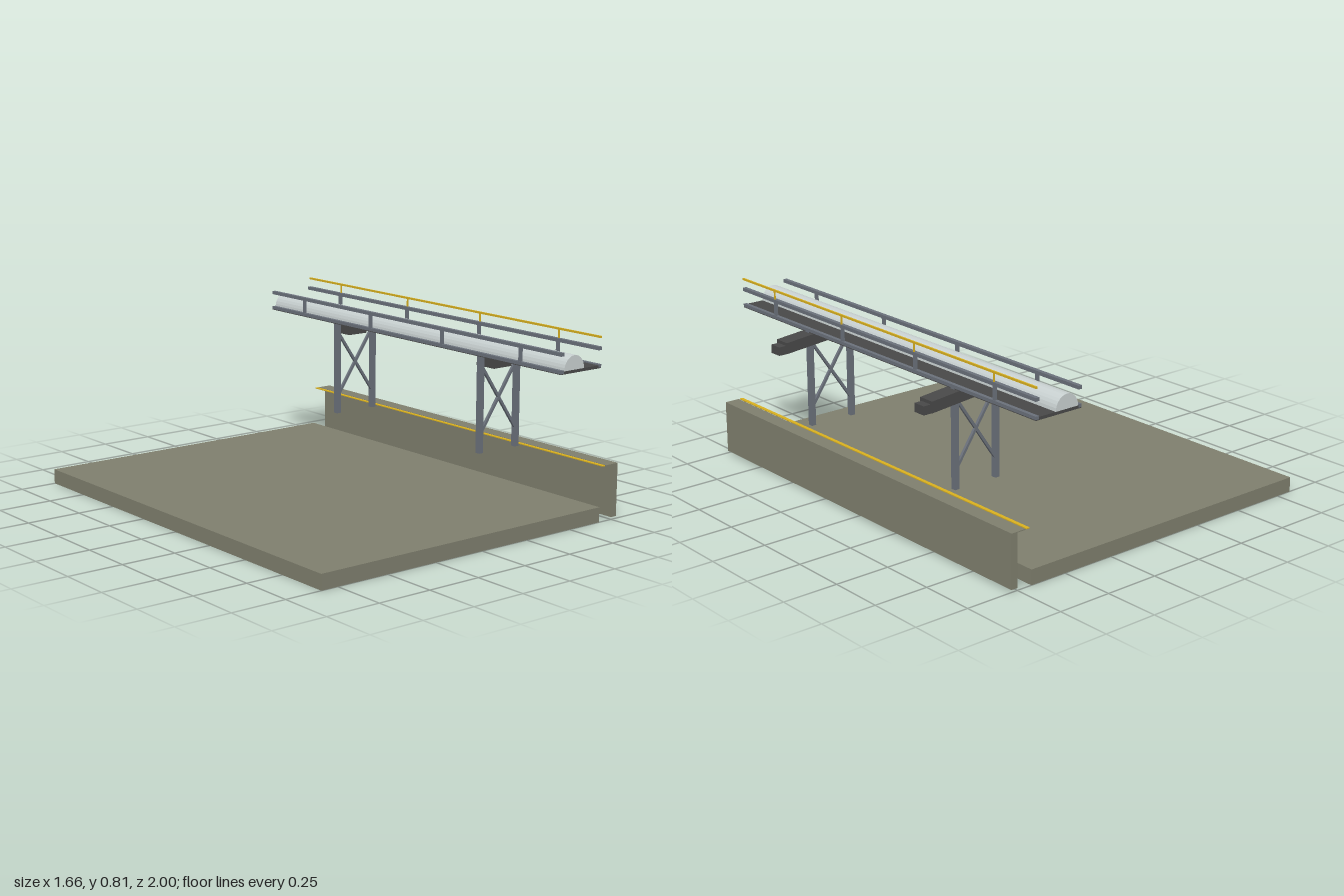
import * as THREE from 'three';

const mat = (name, color) => {
  const m = new THREE.MeshStandardMaterial({ color });
  m.name = name;
  return m;
};

export function createModel() {
  const concrete = mat('concrete', 0x7e7e6d);
  const steel = mat('steel', 0x6a707a);
  const dark = mat('darkMetal', 0x484848);
  const cover = mat('coverSheet', 0xc8d0d0);
  const yellow = mat('safetyYellow', 0xd8b020);

  const model = new THREE.Group();
  model.name = 'conveyorGallery';

  // Box given by its lower and upper limits on each axis
  const box = (name, material, x0, x1, y0, y1, z0, z1, parent = model) => {
    const mesh = new THREE.Mesh(new THREE.BoxGeometry(x1 - x0, y1 - y0, z1 - z0), material);
    mesh.position.set((x0 + x1) / 2, (y0 + y1) / 2, (z0 + z1) / 2);
    mesh.name = name;
    parent.add(mesh);
    return mesh;
  };

  // Ground slab and quay wall with its coping and painted line
  box('groundSlab', concrete, -0.83, 0.677, 0, 0.067, -1, 1);
  box('quayWall', concrete, 0.75, 0.78, 0.01, 0.247, -1, 1);
  box('copingPlate', concrete, 0.71, 0.75, 0.243, 0.247, -1, 1);
  box('edgeLine', yellow, 0.688, 0.704, 0.244, 0.248, -1, 1);

  // Deck with steel edge beams
  box('deck', dark, 0.44, 0.643, 0.679, 0.69, -1, 1);
  box('deckSoffit', dark, 0.423, 0.66, 0.677, 0.68, -1, 1);
  box('leftEdgeBeam', steel, 0.643, 0.66, 0.68, 0.694, -1, 1);
  box('rightEdgeBeam', steel, 0.423, 0.44, 0.68, 0.694, -1, 1);

  // Half-round conveyor cover
  const arch = new THREE.Shape();
  const n = 14;
  for (let i = 0; i <= n; i++) {
    const a = (i / n) * Math.PI;
    const x = 0.5 + 0.058 * Math.cos(a), y = 0.69 + 0.062 * Math.sin(a);
    if (i) arch.lineTo(x, y); else arch.moveTo(x, y);
  }
  const archGeo = new THREE.ExtrudeGeometry(arch, { depth: 2, bevelEnabled: false });
  archGeo.translate(0, 0, -1);
  const coverMesh = new THREE.Mesh(archGeo, cover);
  coverMesh.name = 'conveyorCover';
  model.add(coverMesh);

  // Handrails on both sides
  for (const [side, x] of [['right', 0.431], ['left', 0.652]]) {
    const rail = new THREE.Group();
    rail.name = side + 'Handrail';
    model.add(rail);
    box('rail', steel, x - 0.009, x + 0.009, 0.754, 0.769, -1, 1, rail);
    for (const z of [-0.75, -0.25, 0.25, 0.75]) {
      box('post', steel, x - 0.006, x + 0.006, 0.69, 0.756, z - 0.007, z + 0.007, rail);
      if (side === 'left') box('upperPost', yellow, 0.653, 0.659, 0.765, 0.808, z - 0.003, z + 0.003, rail);
    }
  }
  box('upperRail', yellow, 0.653, 0.66, 0.805, 0.814, -1, 1);

  // Sloping boom outline in the x-y plane
  const boomShape = new THREE.Shape();
  [[0.565, 0.68], [0.565, 0.634], [0.794, 0.613], [0.794, 0.662], [0.64, 0.677]]
    .forEach(([x, y], i) => (i ? boomShape.lineTo(x, y) : boomShape.moveTo(x, y)));
  const boomGeo = new THREE.ExtrudeGeometry(boomShape, { depth: 0.076, bevelEnabled: false });
  boomGeo.translate(0, 0, -0.038);

  // Support bents, each with crossed braces and a loading boom
  for (const z of [-0.5, 0.5]) {
    const bent = new THREE.Group();
    bent.name = z > 0 ? 'frontBent' : 'backBent';
    bent.position.z = z;
    model.add(bent);
    for (const x of [0.435, 0.649]) {
      box('leg', steel, x - 0.0115, x + 0.0115, 0.245, 0.68, -0.012, 0.012, bent);
    }
    for (const s of [-1, 1]) {
      const length = Math.hypot(0.205, 0.3);
      const brace = box('brace', steel, 0.536, 0.548, 0.483 - length / 2, 0.483 + length / 2, -0.006, 0.006, bent);
      brace.rotation.z = s * Math.atan2(0.205, 0.3);
    }
    box('driveHousing', dark, 0.462, 0.567, 0.626, 0.68, -0.055, 0.055, bent);
    const boom = new THREE.Mesh(boomGeo, dark);
    boom.name = 'boom';
    bent.add(boom);
    box('boomHead', dark, 0.782, 0.83, 0.61, 0.648, -0.029, 0.029, bent);
  }
  return model;
}
